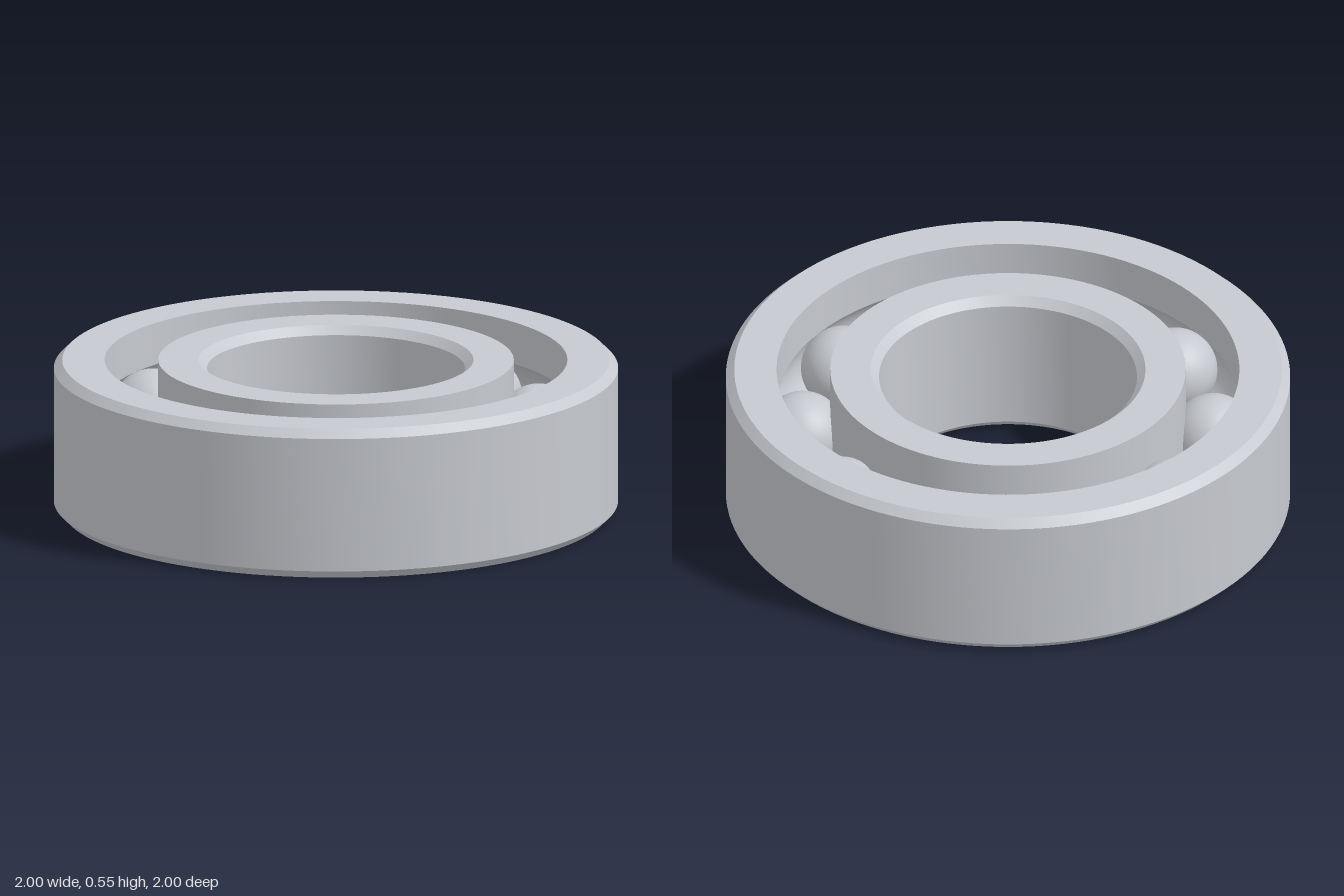
import * as THREE from 'three';
import { toCreasedNormals } from 'three/addons/utils/BufferGeometryUtils.js';

const HEIGHT = 0.545, MID = HEIGHT / 2, CHAMFER = 0.03;
const PITCH = 0.727, BALL_RADIUS = 0.15, GROOVE_RADIUS = 0.152;
const BALLS = 10;

// Arc of the ball track, cut into a ring wall of the given radius
function groove(wall, facing, steps = 12) {
  const half = Math.acos(Math.abs(wall - PITCH) / GROOVE_RADIUS);
  const points = [];
  for (let i = 0; i <= steps; i++) {
    const a = facing + half - (2 * half * i) / steps;
    points.push([PITCH + GROOVE_RADIUS * Math.cos(a), MID + GROOVE_RADIUS * Math.sin(a)]);
  }
  return points;
}

// Revolves a closed counter-clockwise profile of [radius, y] pairs
function ring(name, profile, material) {
  const points = [...profile, profile[0]].map(([r, y]) => new THREE.Vector2(r, y));
  const geometry = toCreasedNormals(new THREE.LatheGeometry(points, 120), 0.4);
  const mesh = new THREE.Mesh(geometry, material);
  mesh.name = name;
  return mesh;
}

export function createModel() {
  const steel = new THREE.MeshStandardMaterial({ color: 0xc6c9cf });
  steel.name = 'steel';
  const group = new THREE.Group();
  group.name = 'ballBearing';

  // Outer ring: chamfered outside, track on the inside
  const outer = 1, outerWall = 0.82;
  group.add(ring('outerRing', [
    [outer - CHAMFER, 0], [outer, CHAMFER],
    [outer, HEIGHT - CHAMFER], [outer - CHAMFER, HEIGHT],
    [outerWall, HEIGHT], ...groove(outerWall, 0), [outerWall, 0],
  ], steel));

  // Inner ring: track on the outside, chamfered bore
  const bore = 0.457, innerWall = 0.63;
  group.add(ring('innerRing', [
    [innerWall, 0], ...groove(innerWall, Math.PI).reverse(), [innerWall, HEIGHT],
    [bore + CHAMFER, HEIGHT], [bore, HEIGHT - CHAMFER],
    [bore, CHAMFER], [bore + CHAMFER, 0],
  ], steel));

  // Balls spaced evenly around the track
  const balls = new THREE.Group();
  balls.name = 'balls';
  const sphere = new THREE.SphereGeometry(BALL_RADIUS, 40, 24);
  for (let i = 0; i < BALLS; i++) {
    const a = (i / BALLS) * Math.PI * 2;
    const ball = new THREE.Mesh(sphere, steel);
    ball.name = `ball${i + 1}`;
    ball.position.set(PITCH * Math.cos(a), MID, PITCH * Math.sin(a));
    balls.add(ball);
  }
  group.add(balls);
  return group;
}
